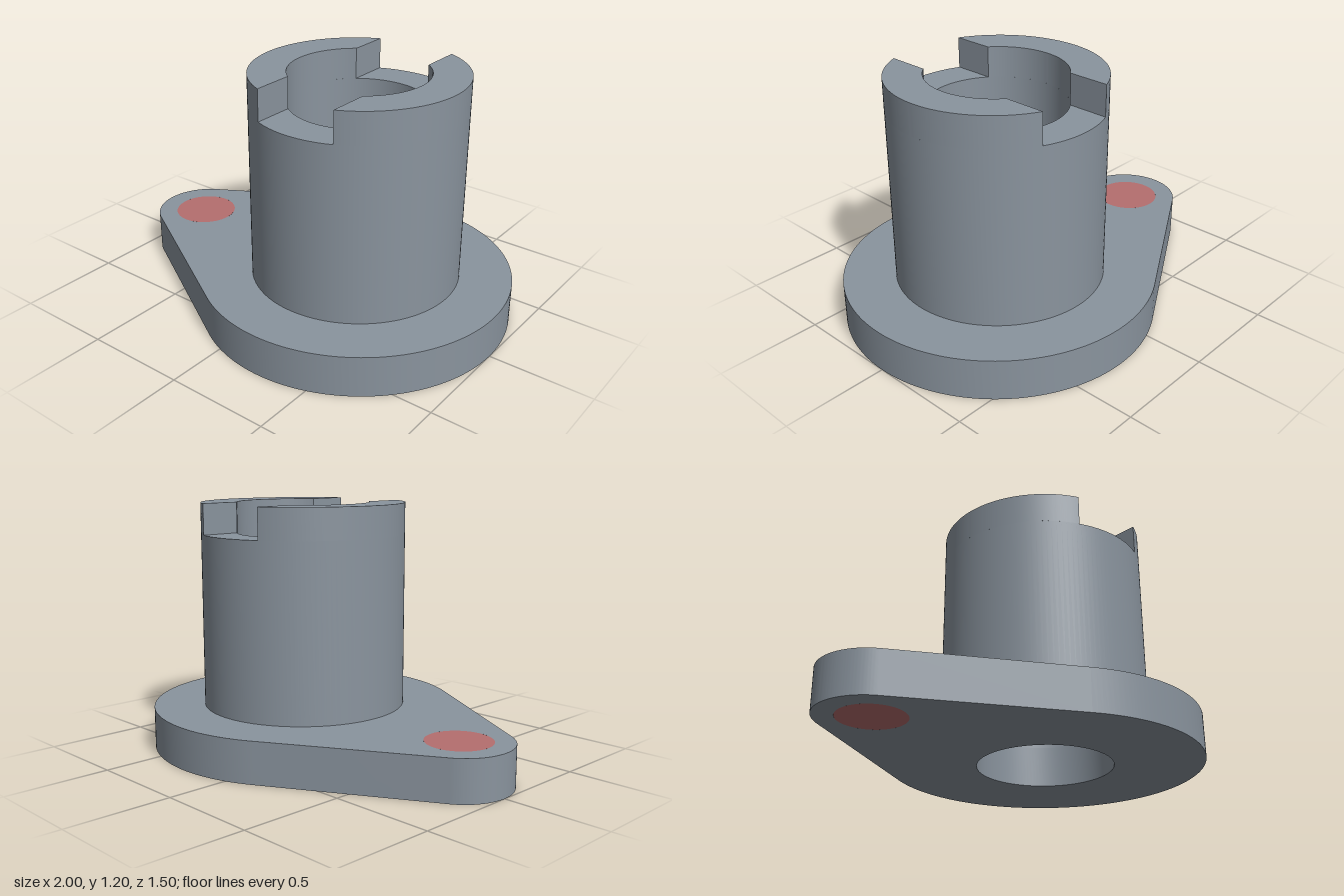
import * as THREE from 'three';
import { toCreasedNormals } from 'three/addons/utils/BufferGeometryUtils.js';

const CX = 0.25; // axis of the barrel
const OUTER = 0.5, BORE = 0.325;
const PLATE_TOP = 0.2, SLOT_FLOOR = 1.05, TOP = 1.2;
const EAR_X = -0.75, EAR_R = 0.25, INSERT_R = 0.155;

const hole = (x, r) => new THREE.Path().absarc(x, 0, r, 0, Math.PI * 2, true);

// Extrude a plan outline upwards between two heights, smooth round the curves
function slab(shape, y0, y1) {
  const geo = new THREE.ExtrudeGeometry(shape, { depth: y1 - y0, bevelEnabled: false, curveSegments: 64 });
  geo.rotateX(-Math.PI / 2).translate(0, y0, 0);
  return toCreasedNormals(geo, 0.5);
}

export function createModel() {
  const group = new THREE.Group();
  const steel = new THREE.MeshStandardMaterial({ color: 0x8a949e });
  steel.name = 'steel grey';
  const red = new THREE.MeshStandardMaterial({ color: 0xb56e6e });
  red.name = 'dull red';

  const add = (name, geo, material) => {
    const mesh = new THREE.Mesh(geo, material);
    mesh.name = name;
    group.add(mesh);
    return mesh;
  };

  // Flange: large and small arcs joined by tangent lines
  const t = Math.acos((0.75 - EAR_R) / (CX - EAR_X));
  const flange = new THREE.Shape();
  flange.absarc(CX, 0, 0.75, -(Math.PI - t), Math.PI - t, false);
  flange.absarc(EAR_X, 0, EAR_R, Math.PI - t, Math.PI + t, false);
  flange.closePath();
  flange.holes.push(hole(CX, BORE), hole(EAR_X, INSERT_R));
  add('flange', slab(flange, 0, PLATE_TOP), steel);

  // Round insert flush with both faces of the flange
  const insert = new THREE.CylinderGeometry(INSERT_R, INSERT_R, PLATE_TOP, 64);
  insert.translate(EAR_X, PLATE_TOP / 2, 0);
  add('insert', insert, red);

  // Hollow barrel up to the slot floor
  const ring = new THREE.Shape().absarc(CX, 0, OUTER, 0, Math.PI * 2, false);
  ring.holes.push(hole(CX, BORE));
  add('barrel', slab(ring, PLATE_TOP, SLOT_FLOOR), steel);

  // Two lugs left standing either side of the cross slot
  const a = Math.acos(0.2 / OUTER), b = Math.acos(0.2 / BORE);
  for (const [name, turn] of [['leftLug', 0], ['rightLug', Math.PI]]) {
    const lug = new THREE.Shape();
    lug.absarc(0, 0, OUTER, -a, a, false);
    lug.absarc(0, 0, BORE, b, -b, true);
    lug.closePath();
    const mesh = add(name, slab(lug, SLOT_FLOOR, TOP), steel);
    mesh.position.x = CX;
    mesh.rotation.y = turn;
  }
  return group;
}
